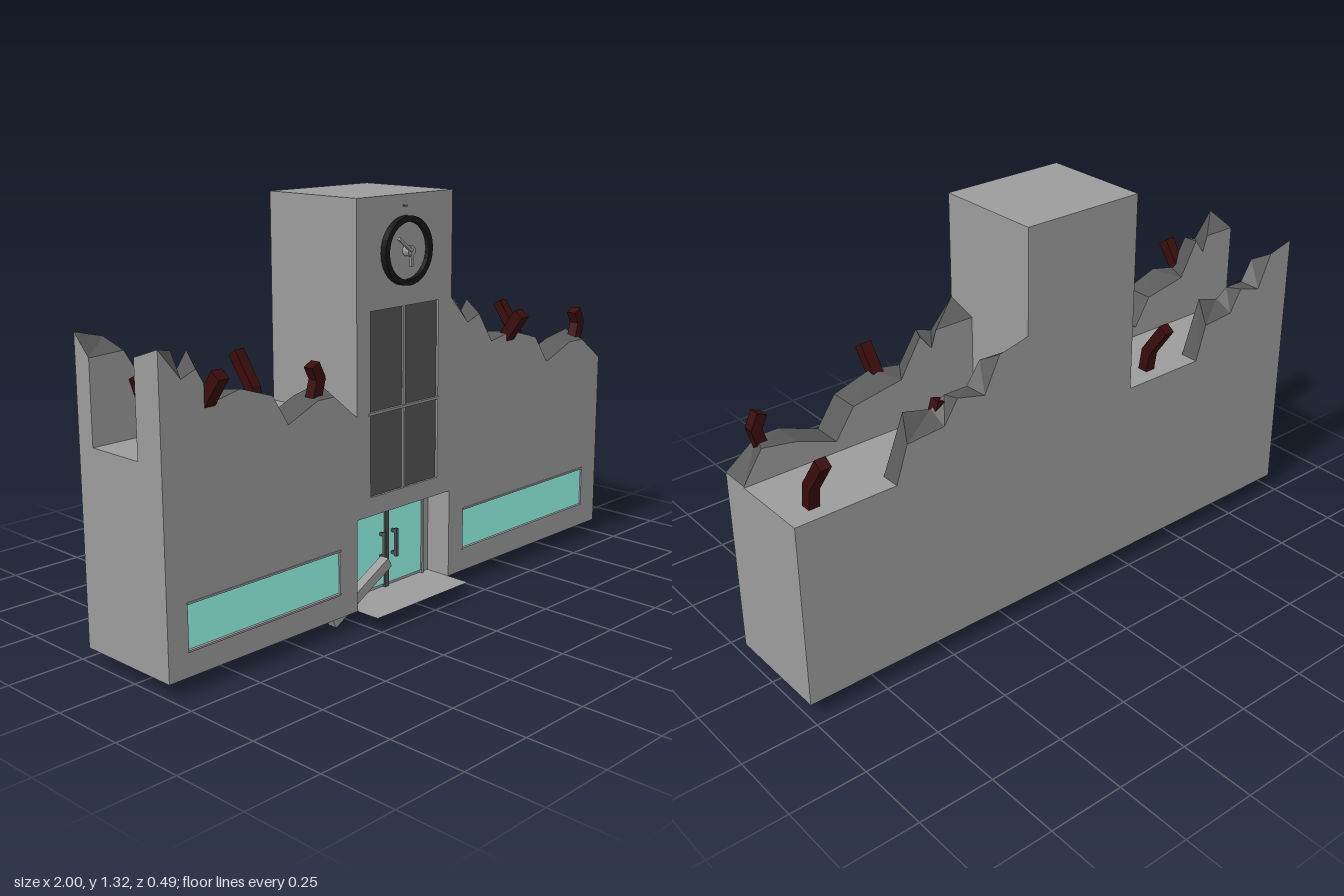
import * as THREE from 'three';

const mat = (color, extra = {}) => new THREE.MeshStandardMaterial({ color, flatShading: true, ...extra });
const GREY = 0x9c9c9c;
const grey = mat(GREY), rubble = mat(0x5a5a5a), dark = mat(0x535353), glass = mat(0x99ffee);
const black = mat(0x161616), wood = mat(0x3a0c0c);

const BASE = 0.055, ROOF = 0.67, TOP = 1.33;
const BACK = -0.213, FRONT = 0.158, INNER = 0.055, ALCOVE = 0.07;
const TL = -0.262, TR = 0.168; // tower sides
const MID = -0.05;
const wings = [[-1, TL], [TR, 0.995]];

// broken wall tops as [fraction along the wing, height]
const frontOuter = [[0, 0.99], [0.1, 0.9], [0.17, 0.92], [0.25, 0.82], [0.38, 0.84], [0.54, 0.8], [0.62, 0.705], [0.78, 0.755], [0.87, 0.755], [1, 0.675]];
const frontInner = [[0, 0.955], [0.167, 0.955], [0.19, 0.9], [0.24, 0.95], [0.33, 0.83], [0.54, 0.8], [0.62, 0.705], [0.78, 0.755], [0.92, 0.775], [1, 0.675]];
const backOuter = [[0, 0.99], [0.13, 0.965], [0.2, 0.85], [0.32, 0.875], [0.38, 0.8], [0.54, 0.79], [0.59, ROOF]];
const backInner = [[0, 0.925], [0.16, 0.93], [0.22, 0.86], [0.32, 0.86], [0.38, 0.83], [0.5, 0.855], [0.59, ROOF]];

const along = (profile, [a, b]) => profile.map(([u, y]) => [a + u * (b - a), y]).reverse();

function add(parent, name, geometry, material, x = 0, y = 0, z = 0) {
  const mesh = new THREE.Mesh(geometry, material);
  mesh.name = name;
  mesh.position.set(x, y, z);
  parent.add(mesh);
  return mesh;
}

// box given by its limits
function block(parent, name, material, x0, x1, y0, y1, z0, z1) {
  return add(parent, name, new THREE.BoxGeometry(x1 - x0, y1 - y0, z1 - z0), material,
    (x0 + x1) / 2, (y0 + y1) / 2, (z0 + z1) / 2);
}

const outline = pts => pts.map(p => new THREE.Vector2(...p));

function fromTriangles(positions) {
  const g = new THREE.BufferGeometry();
  g.setAttribute('position', new THREE.Float32BufferAttribute(positions, 3));
  g.computeVertexNormals();
  return g;
}

// wall between a near and a far outline; its broken top is a separate, darker mesh
function wall(parent, name, near, far, z0, z1, openings = []) {
  const solid = [], broken = [];
  const holes = openings.map(([x0, x1, y0, y1]) => [[x0, y0], [x0, y1], [x1, y1], [x1, y0]]);
  const cap = (pts, z, flip) => {
    const shape = new THREE.Shape(outline(pts));
    shape.holes = holes.map(h => new THREE.Path(outline(h)));
    const g = new THREE.ShapeGeometry(shape);
    const order = Array.from(g.index.array);
    if (flip) order.reverse();
    for (const i of order) solid.push(g.attributes.position.getX(i), g.attributes.position.getY(i), z);
  };
  const edge = (n, f, mayBreak) => n.forEach((a, i) => {
    const j = (i + 1) % n.length, b = n[j];
    const isTop = mayBreak && a[0] !== b[0] && Math.min(a[1], b[1]) >= ROOF && a[1] < 1;
    const [aN, bN, aF, bF] = [[...a, z1], [...b, z1], [...f[i], z0], [...f[j], z0]];
    (isTop ? broken : solid).push(...aN, ...aF, ...bN, ...bN, ...aF, ...bF);
  });
  cap(near, z1, false);
  cap(far, z0, true);
  edge(near, far, true);
  for (const h of holes) edge(h, h, false);
  add(parent, name, fromTriangles(solid), grey);
  add(parent, name + 'BrokenTop', fromTriangles(broken), rubble);
}

// square timber following a list of points
function beam(parent, name, size, material, points) {
  const group = new THREE.Group();
  group.name = name;
  const v = points.map(p => new THREE.Vector3(...p));
  for (let i = 1; i < v.length; i++) {
    const len = v[i].distanceTo(v[i - 1]) + (v.length > 2 ? size * 0.3 : 0);
    const m = add(group, name + 'Segment', new THREE.BoxGeometry(size, len, size), material);
    m.position.copy(v[i]).add(v[i - 1]).multiplyScalar(0.5);
    m.quaternion.setFromUnitVectors(new THREE.Vector3(0, 1, 0), v[i].clone().sub(v[i - 1]).normalize());
  }
  parent.add(group);
}

export function createModel() {
  const model = new THREE.Group();
  model.name = 'ruinedBuilding';

  // main masses behind the facade
  block(model, 'mainBody', grey, -1, 0.995, BASE, ROOF, BACK, INNER);
  block(model, 'tower', grey, TL, TR, ROOF, TOP, BACK, INNER);

  // facade with broken top, window openings and entrance notch
  const facade = profile => [[-1, BASE], [TL, BASE], [TL, 0.35], [TR, 0.35], [TR, BASE], [0.995, BASE],
    ...along(profile, wings[1]), [TR, TOP], [TL, TOP], ...along(profile, wings[0])];
  const sideWindows = [[-0.928, -0.338, 0.132, 0.272], [0.24, 0.912, 0.132, 0.272]];
  const tall = [-0.203, 0.106, 0.41, 0.99];
  wall(model, 'facade', facade(frontOuter), facade(frontInner), INNER, FRONT, [...sideWindows, tall]);

  // broken rear parapets
  for (const wing of wings) {
    const pts = profile => [[wing[0], ROOF], ...along(profile, wing)];
    wall(model, 'rearParapet', pts(backInner), pts(backOuter), BACK, -0.148);
  }

  // windows, nearly flush, with thin ledges
  for (const w of sideWindows) {
    block(model, 'sideWindow', glass, ...w, INNER, FRONT - 0.006);
    for (const y of [w[2], w[3]]) {
      block(model, 'windowLedge', grey, w[0] - 0.003, w[1] + 0.003, y - 0.003, y + 0.003, FRONT - 0.01, FRONT + 0.003);
    }
  }
  block(model, 'towerWindow', dark, ...tall, INNER, FRONT - 0.008);
  block(model, 'towerMullion', grey, MID - 0.005, MID + 0.005, tall[2], tall[3], 0.13, FRONT - 0.002);
  block(model, 'towerTransom', grey, -0.213, 0.116, 0.67, 0.678, 0.13, FRONT + 0.002);

  // entrance alcove, doors and landing
  block(model, 'alcoveBack', grey, TL, TR, BASE, 0.35, INNER, ALCOVE - 0.004);
  const landing = add(model, 'landing', new THREE.PlaneGeometry(TR - TL, 0.177),
    mat(GREY, { side: THREE.DoubleSide }), (TL + TR) / 2, BASE, 0.1545);
  landing.rotation.x = -Math.PI / 2;
  const doors = [
    [[-0.21, 0.065], [-0.05, 0.065], [-0.05, 0.34], [-0.23, 0.34]],
    [[-0.033, 0.065], [0.13, 0.065], [0.13, 0.34], [-0.033, 0.34]],
  ];
  for (const d of doors) {
    add(model, 'doorGlass', new THREE.ExtrudeGeometry(new THREE.Shape(outline(d)), { depth: 0.008, bevelEnabled: false }), glass, 0, 0, 0.063);
  }
  block(model, 'doorPost', dark, -0.05, -0.033, BASE, 0.345, 0.06, 0.076);
  block(model, 'doorHeader', grey, -0.235, 0.135, 0.338, 0.348, 0.06, 0.076);
  block(model, 'doorFrame', grey, 0.128, 0.138, BASE, 0.348, 0.06, 0.076);
  for (const x of [-0.067, -0.013]) {
    block(model, 'doorHandle', dark, x - 0.005, x + 0.005, 0.155, 0.25, 0.085, 0.095);
    for (const y of [0.165, 0.24]) block(model, 'handleMount', dark, x - 0.004, x + 0.004, y - 0.005, y + 0.005, 0.068, 0.087);
  }
  beam(model, 'fallenPlank', 0.034, grey, [[-0.33, 0.0235, 0.107], [-0.078, 0.16, 0.107]]);

  // clock
  const clock = new THREE.Group();
  clock.name = 'clock';
  clock.position.set(-0.053, 1.16, FRONT);
  model.add(clock);
  const ring = new THREE.Shape().absarc(0, 0, 0.106, 0, Math.PI * 2);
  ring.holes.push(new THREE.Path().absarc(0, 0, 0.088, 0, Math.PI * 2, true));
  add(clock, 'clockRim', new THREE.ExtrudeGeometry(ring, { depth: 0.021, bevelEnabled: false, curveSegments: 16 }), black);
  add(clock, 'clockFace', new THREE.CylinderGeometry(0.09, 0.09, 0.006, 32), grey, 0, 0, 0.003).rotation.x = Math.PI / 2;
  add(clock, 'clockHub', new THREE.CylinderGeometry(0.017, 0.017, 0.03, 16), grey, 0, 0, 0.015).rotation.x = Math.PI / 2;
  beam(clock, 'longHand', 0.009, grey, [[0, 0, 0.03], [-0.058, 0.042, 0.03]]);
  beam(clock, 'shortHand', 0.009, grey, [[0, 0, 0.026], [0.003, -0.048, 0.026]]);
  block(clock, 'clockMark', dark, -0.008, 0.008, 0.132, 0.138, 0, 0.003);

  // splintered timbers, the same set on each wing
  for (const [a, b] of [[-0.83, -0.4], [0.472, 0.9]]) {
    beam(model, 'leaningTimber', 0.038, wood, [[a, 0.775, 0.11], [a, 0.905, 0.205]]);
    beam(model, 'bentTimber', 0.035, wood, [[b - 0.005, 0.74, 0.115], [b + 0.015, 0.81, 0.115], [b - 0.005, 0.85, 0.115]]);
    beam(model, 'rearBentTimber', 0.035, wood, [[a + 0.02, ROOF, -0.147], [a + 0.012, 0.75, -0.147], [a - 0.02, 0.845, -0.147]]);
    beam(model, 'rearLeaningTimber', 0.036, wood, [[b, ROOF, -0.145], [b, 0.74, -0.155], [b, 0.84, -0.225]]);
  }
  return model;
}
